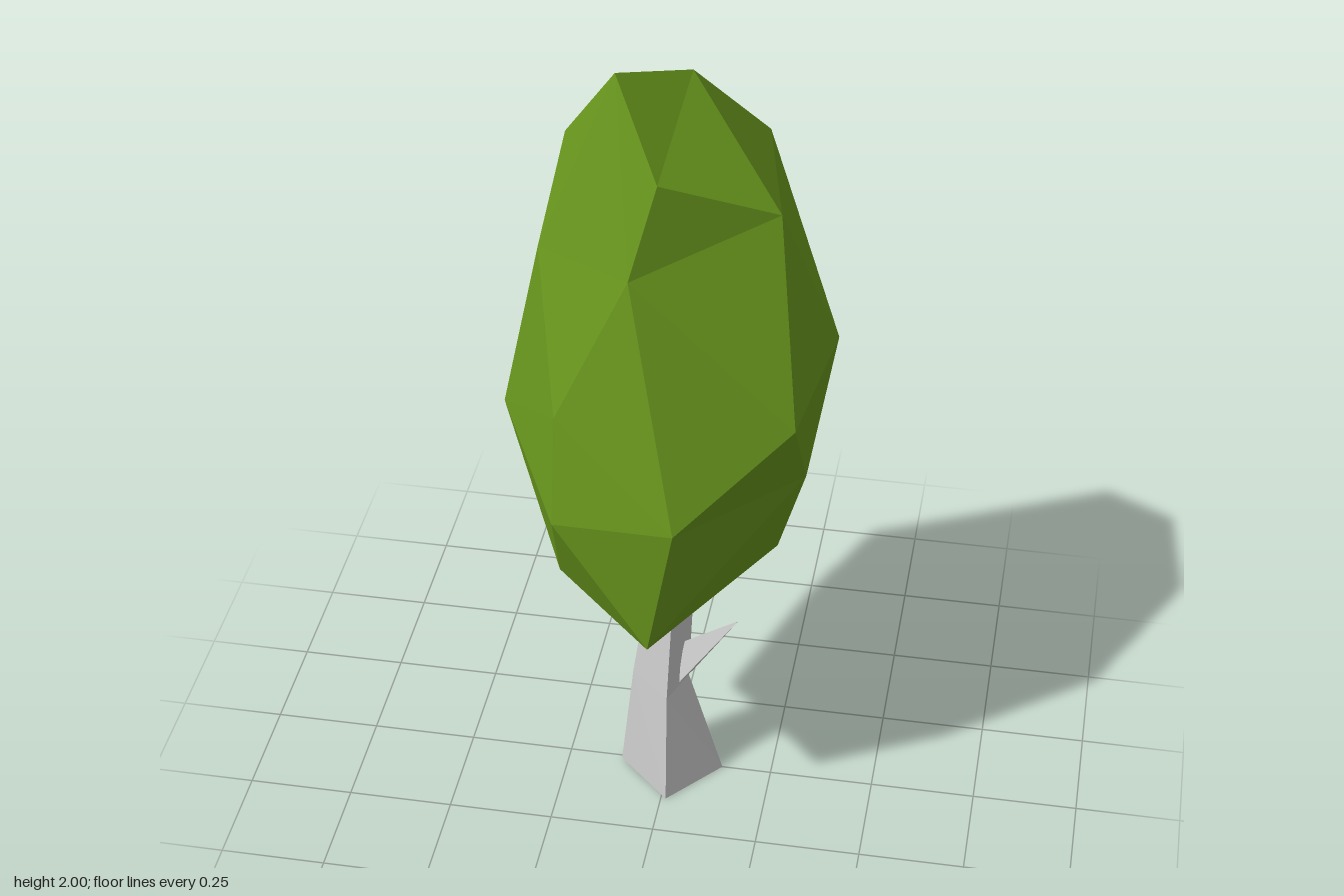
import * as THREE from 'three';

// Laces two closed loops of points together. Each step advances one loop:
// 'u' the upper, 'l' the lower. Triangles with a repeated point are skipped.
function lace(out, upper, lower, steps) {
  let i = 0, j = 0;
  for (const s of steps) {
    const a = upper[i % upper.length], b = lower[j % lower.length];
    const c = s === 'u' ? upper[++i % upper.length] : lower[++j % lower.length];
    if (a !== b && b !== c && a !== c) out.push(...a, ...b, ...c);
  }
}

function facetedMesh(name, positions, color) {
  const geometry = new THREE.BufferGeometry();
  geometry.setAttribute('position', new THREE.Float32BufferAttribute(positions, 3));
  geometry.computeVertexNormals();
  const mesh = new THREE.Mesh(geometry, new THREE.MeshStandardMaterial({ color, flatShading: true }));
  mesh.name = name;
  return mesh;
}

// Irregular faceted crown: corner points, listed from the top down
function makeFoliage() {
  const p = {
    // peak
    M: [-0.09, 2, 0.15], K: [0.047, 1.935, -0.01], O: [0.013, 1.79, 0.235],
    // shoulder
    Q: [-0.04, 1.585, 0.293], P: [0.255, 1.655, 0.083], J: [0.19, 1.705, -0.19],
    I: [0.022, 1.68, -0.3], L: [-0.245, 1.725, -0.07], N: [-0.268, 1.55, 0.127],
    // widest loop
    E: [0.072, 1, 0.39], D: [0.315, 1.2, 0.23], C: [0.368, 1.245, -0.09], B: [0.18, 1.235, -0.31],
    A: [-0.08, 1.145, -0.39], H: [-0.34, 1.235, -0.27], G: [-0.37, 1.09, 0.065], F: [-0.212, 1.2, 0.27],
    // lower side
    R: [0.32, 0.95, 0.045], Y: [0.18, 0.92, -0.31], W: [-0.29, 0.92, -0.175], Z: [-0.22, 0.92, 0.285],
    // underside
    T: [0, 0.61, 0.31], S: [0.24, 0.63, -0.1], V: [-0.083, 0.635, -0.23], U: [-0.255, 0.61, 0.054],
    X: [0, 0.515, 0.02],
  };
  const loop = (letters) => [...letters].map((k) => p[k]);
  const out = [];
  const strips = [
    ['M', 'OKM', 'lll'],
    ['OKM', 'QPJILN', 'lulllullu'],
    ['QPJILN', 'EDCBAHGF', 'lululullululul'],
    ['EDCBAHGF', 'ERYAWGZ', 'luuluulluulluul'],
    ['ERYAWGZ', 'TSVU', 'ululuuluulu'],
    ['TSVU', 'X', 'uuuu'],
  ];
  for (const [upper, lower, steps] of strips) lace(out, loop(upper), loop(lower), steps);
  return facetedMesh('foliage', out, 0x6b9a1e);
}

// Four-sided tapering trunk, corners ordered front, left, back, right
function makeTrunk() {
  const ring = (y, front, left, back, right) => [
    [front[0], y, front[1]], [left, y, 0], [0, y, back], [right, y, 0.01],
  ];
  const rings = [
    ring(0.62, [0.02, 0.07], 0.055, -0.04, -0.05),
    ring(0.53, [0.016, 0.072], 0.055, -0.042, -0.055),
    ring(0.285, [0.008, 0.1], 0.045, -0.045, -0.09),
    ring(0, [0.012, 0.138], 0.13, -0.11, -0.12),
  ];
  const out = [];
  lace(out, [[0, 0.62, 0.01]], rings[0], 'llll');
  for (let k = 0; k < rings.length - 1; k++) lace(out, rings[k], rings[k + 1], 'lulululu');
  lace(out, rings[3], [[0, 0, 0.01]], 'uuuu');
  return facetedMesh('trunk', out, 0xcccccc);
}

// Small pointed twig on the left of the trunk
function makeTwig() {
  const base = [[0.03, 0.3, 0.05], [0.055, 0.3, 0], [0.03, 0.4, 0.02]];
  const out = [];
  lace(out, [[0.17, 0.505, 0.045]], base, 'lll');
  lace(out, base, [[0.03, 0.33, 0.02]], 'uuu');
  return facetedMesh('twig', out, 0xcccccc);
}

export function createModel() {
  const tree = new THREE.Group();
  tree.name = 'tree';
  tree.add(makeFoliage(), makeTrunk(), makeTwig());
  return tree;
}
